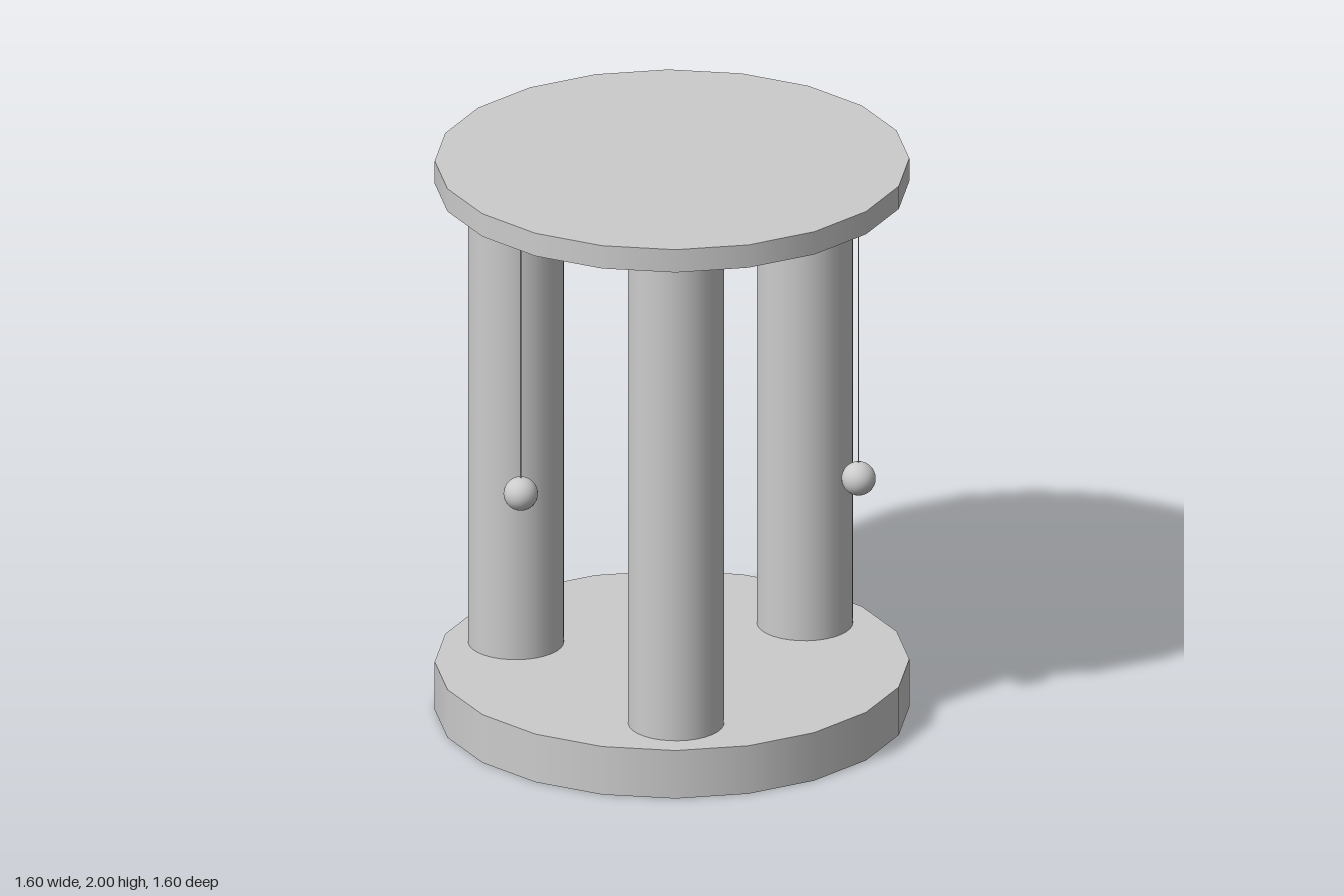
import * as THREE from 'three';

export function createModel() {
  const model = new THREE.Group();
  model.name = 'columnStand';
  const grey = new THREE.MeshStandardMaterial({ color: 0xcccccc });

  const add = (parent, name, geometry, x, y, z) => {
    const mesh = new THREE.Mesh(geometry, grey);
    mesh.name = name;
    mesh.position.set(x, y, z);
    parent.add(mesh);
  };

  // Upright cylinder spanning two heights
  const post = (parent, name, radius, bottom, top, sides, x = 0, z = 0) =>
    add(parent, name, new THREE.CylinderGeometry(radius, radius, top - bottom, sides),
      x, (bottom + top) / 2, z);

  const baseTop = 0.175, roofBottom = 1.917;

  // Twenty-sided base and roof discs
  post(model, 'base', 0.8, 0, baseTop, 20);
  post(model, 'roof', 0.8, roofBottom, 2, 20);

  // Three columns in a triangle, one at the back
  const columns = [[-0.45, 0.32], [0.45, 0.32], [0, -0.56]];
  for (const [x, z] of columns) {
    post(model, 'column', 0.162, baseTop, roofBottom, 32, x, z);
  }

  // Three balls hanging from the roof on thin strings, between the columns
  const ballY = 0.94, ballRadius = 0.058;
  const pendulums = [[0, 0.637], [0.575, -0.355], [-0.575, -0.355]];
  for (const [x, z] of pendulums) {
    const pendulum = new THREE.Group();
    pendulum.name = 'pendulum';
    pendulum.position.set(x, 0, z);
    post(pendulum, 'string', 0.002, ballY + ballRadius * 0.9, roofBottom, 8);
    add(pendulum, 'ball', new THREE.SphereGeometry(ballRadius, 32, 16), 0, ballY, 0);
    model.add(pendulum);
  }

  return model;
}
